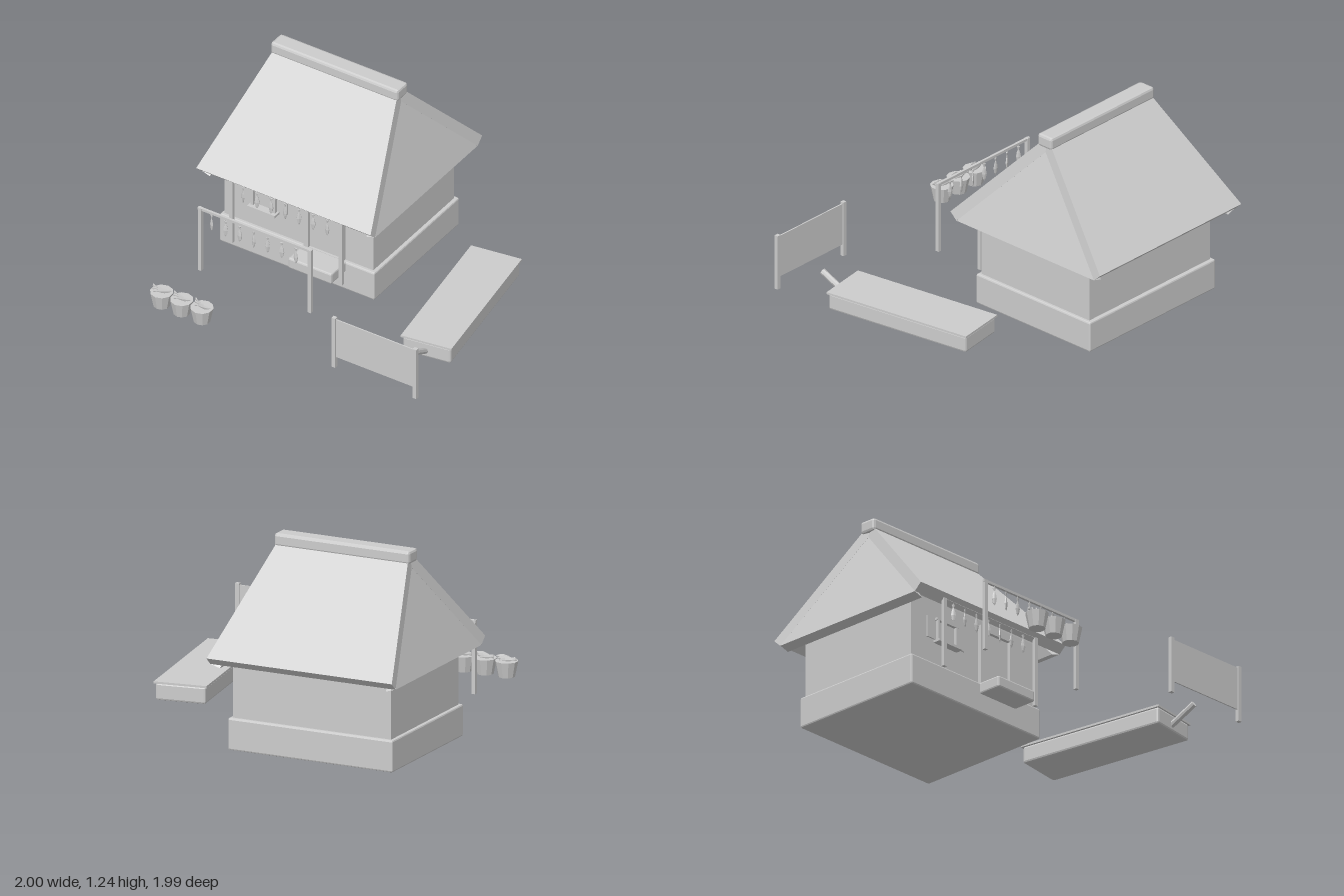
import * as THREE from 'three';
import { RoundedBoxGeometry } from 'three/addons/geometries/RoundedBoxGeometry.js';
import { ConvexGeometry } from 'three/addons/geometries/ConvexGeometry.js';

const grey = new THREE.MeshStandardMaterial({ color: 0xcccccc, flatShading: true });
grey.name = 'plain grey';

function add(parent, name, geometry, x = 0, y = 0, z = 0) {
  const mesh = new THREE.Mesh(geometry, grey);
  mesh.name = name;
  mesh.position.set(x, y, z);
  parent.add(mesh);
  return mesh;
}

function group(parent, name, x = 0, y = 0, z = 0) {
  const g = new THREE.Group();
  g.name = name;
  g.position.set(x, y, z);
  parent.add(g);
  return g;
}

// Box given by its lowest and highest corners, with an optional bevel
function block(parent, name, [x0, y0, z0], [x1, y1, z1], bevel = 0) {
  const size = [x1 - x0, y1 - y0, z1 - z0];
  const geometry = bevel ? new RoundedBoxGeometry(...size, 1, bevel) : new THREE.BoxGeometry(...size);
  return add(parent, name, geometry, (x0 + x1) / 2, (y0 + y1) / 2, (z0 + z1) / 2);
}

// Flat panel thickened inwards, corners counter-clockwise from outside
function slab(parent, name, corners, thickness) {
  const outer = corners.map((c) => new THREE.Vector3(...c));
  const normal = new THREE.Triangle(outer[0], outer[1], outer[2]).getNormal(new THREE.Vector3());
  const inner = outer.map((p) => p.clone().addScaledVector(normal, -thickness));
  return add(parent, name, new ConvexGeometry([...outer, ...inner]));
}

// Slim fish with a flared tail at the top, hanging from its origin
function fishGeometry() {
  const profile = [[0, -0.115], [0.01, -0.1], [0.017, -0.07], [0.012, -0.045], [0.004, -0.022], [0.011, -0.002], [0, 0]];
  const g = new THREE.LatheGeometry(profile.map(([r, y]) => new THREE.Vector2(r, y)), 6);
  return g.scale(1, 1, 0.45);
}

const GROUND = 0.125;
const CX = -0.3875; // house centre
const CZ = -0.4;

function buildHouse(root) {
  const house = group(root, 'house');
  block(house, 'foundation', [-0.93, 0, -0.855], [0.158, 0.195, 0.055], 0.01);
  block(house, 'walls', [-0.91, 0.19, -0.83], [0.135, 0.61, 0.03]);
  block(house, 'doorStep', [-0.35, GROUND, 0.04], [-0.045, 0.197, 0.205], 0.01);

  // Door frame
  for (const x of [-0.325, -0.078]) block(house, 'doorPost', [x - 0.016, 0.195, 0.02], [x + 0.016, 0.57, 0.052]);
  block(house, 'doorLintel', [-0.341, 0.545, 0.02], [-0.062, 0.575, 0.052]);

  // Window with shutter panel, frame and sill
  block(house, 'windowPanel', [-0.78, 0.36, 0.03], [-0.465, 0.495, 0.038]);
  for (const x of [-0.7, -0.545]) block(house, 'windowPost', [x - 0.008, 0.345, 0.03], [x + 0.008, 0.495, 0.058]);
  block(house, 'windowTop', [-0.715, 0.482, 0.03], [-0.53, 0.497, 0.058]);
  block(house, 'windowSill', [-0.72, 0.338, 0.03], [-0.525, 0.354, 0.08]);

  // Roof: front and back slopes, then the two gable slopes beneath their edges
  const roof = group(house, 'roof', CX, 0, CZ);
  for (const s of [1, -1]) {
    slab(roof, 'roofSlope', [
      [-0.6125 * s, 0.585, 0.597 * s], [0.6125 * s, 0.585, 0.597 * s],
      [0.42 * s, 1.222, 0], [-0.42 * s, 1.222, 0],
    ], 0.066);
    slab(roof, 'roofEnd', [
      [0.6125 * s, 0.54, 0.547 * s], [0.6125 * s, 0.54, -0.547 * s], [0.412 * s, 1.2, 0],
    ], 0.066);
  }
  block(roof, 'ridgeCap', [-0.447, 1.155, -0.057], [0.447, 1.235, 0.057], 0.016);
}

// Drying rack: two posts, a crossbar and a row of hanging fish
function buildRack(root, z) {
  const rack = group(root, 'dryingRack', 0, 0, z);
  for (const x of [-0.77, 0]) block(rack, 'rackPost', [x - 0.012, GROUND, -0.011], [x + 0.012, 0.575, 0.011]);
  block(rack, 'rackBar', [-0.785, 0.56, -0.008], [0.013, 0.576, 0.008]);
  const geometry = fishGeometry();
  for (let i = 0; i < 7; i++) {
    const fish = add(rack, 'hangingFish', geometry, -0.692 + i * 0.0985, 0.55, 0);
    fish.rotation.y = ((i * 5) % 7 - 3) * 0.2;
    block(rack, 'fishString', [fish.position.x - 0.002, 0.545, -0.002], [fish.position.x + 0.002, 0.562, 0.002]);
  }
}

// Round tubs with fish lying on top
function buildBaskets(root) {
  const fishShape = fishGeometry().translate(0, 0.057, 0);
  [-0.767, -0.626, -0.484].forEach((x, i) => {
    const basket = group(root, 'basket', x, GROUND, 0.92);
    add(basket, 'tub', new THREE.CylinderGeometry(0.07, 0.05, 0.097, 10), 0, 0.0485, 0);
    for (let k = 0; k < 3; k++) {
      const fish = add(basket, 'basketFish', fishShape, (k - 1) * 0.012, 0.105 + k * 0.004, (k - 1) * 0.012);
      fish.rotation.set(0, (i - 1) * -0.2 + (k - 1) * 0.15, Math.PI / 2 + (k - 1) * 0.15);
    }
  });
}

function buildFence(root) {
  const fence = group(root, 'fenceScreen', 0, 0, 0.875);
  for (const x of [0.417, 0.986]) block(fence, 'fencePost', [x - 0.013, GROUND, -0.012], [x + 0.013, 0.48, 0.012]);
  block(fence, 'fencePanel', [0.417, 0.2, -0.004], [0.986, 0.47, 0.004]);
}

// Handcart: covered bed with a sloping handle
function buildCart(root) {
  const cart = group(root, 'cart', 0.7475, 0, 0.022);
  cart.rotation.y = 0.15;
  block(cart, 'cartBed', [-0.155, GROUND, -0.487], [0.155, 0.23, 0.487], 0.012);
  block(cart, 'cartTop', [-0.164, 0.227, -0.494], [0.164, 0.24, 0.494]);
  const handle = add(cart, 'cartHandle', new THREE.CylinderGeometry(0.019, 0.019, 0.19, 8), -0.01, 0.212, 0.56);
  handle.rotation.x = Math.PI / 2 - 0.53;
}

export function createModel() {
  const root = new THREE.Group();
  root.name = 'farmhouse';
  buildHouse(root);
  buildRack(root, 0.5);
  buildRack(root, 0.165);
  buildBaskets(root);
  buildFence(root);
  buildCart(root);
  return root;
}
